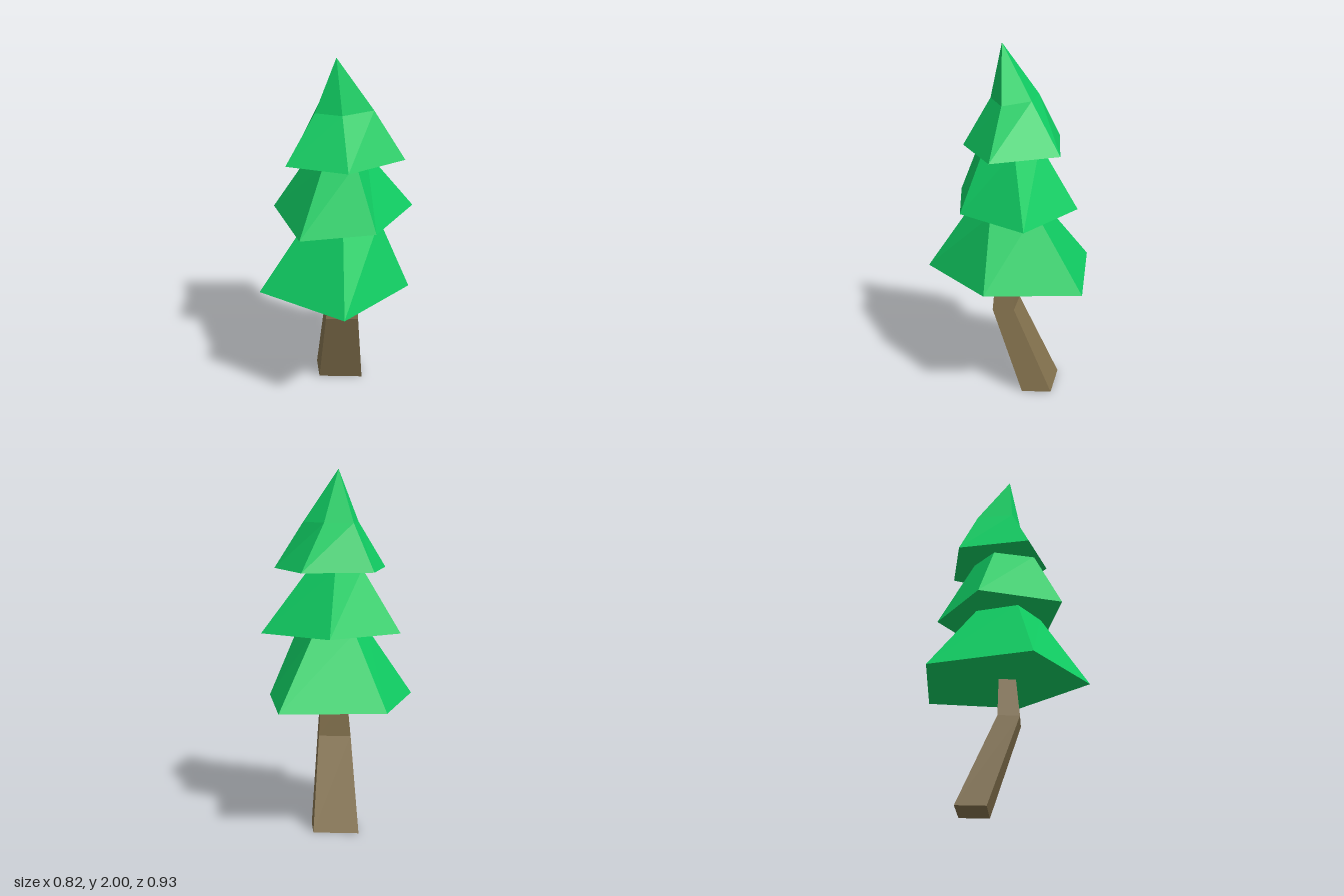
import * as THREE from 'three';

// Faceted solid through horizontal rings, listed bottom to top.
// Ring: { y, pts: [[x, z], ...] } going left, front, right, back; one point makes an apex.
function loft(name, color, rings) {
  const pos = [];
  const n = rings[0].pts.length;
  const at = (ring, i) => {
    const [x, z] = ring.pts[i % ring.pts.length];
    return [x, ring.y, z];
  };
  const tri = (a, b, c) => pos.push(...a, ...b, ...c);

  // sides
  for (let k = 0; k < rings.length - 1; k++) {
    const lo = rings[k], hi = rings[k + 1];
    for (let i = 0; i < n; i++) {
      const j = (i + 1) % n;
      tri(at(lo, i), at(lo, j), at(hi, j));
      if (hi.pts.length > 1) tri(at(lo, i), at(hi, j), at(hi, i));
    }
  }
  // caps
  const bottom = rings[0], top = rings[rings.length - 1];
  for (let i = 1; i < n - 1; i++) {
    tri(at(bottom, 0), at(bottom, i + 1), at(bottom, i));
    if (top.pts.length > 1) tri(at(top, 0), at(top, i), at(top, i + 1));
  }

  const geo = new THREE.BufferGeometry();
  geo.setAttribute('position', new THREE.Float32BufferAttribute(pos, 3));
  geo.computeVertexNormals();
  const mesh = new THREE.Mesh(geo, new THREE.MeshStandardMaterial({ color, flatShading: true }));
  mesh.name = name;
  return mesh;
}

export function createModel() {
  const tree = new THREE.Group();
  tree.name = 'pineTree';
  const bark = 0x85734f, leaf = 0x10cc62;

  // bent four-sided trunk
  tree.add(loft('trunk', bark, [
    { y: 0, pts: [[-0.2, -0.045], [-0.075, 0.065], [0.115, -0.1], [-0.01, -0.21]] },
    { y: 0.5, pts: [[-0.015, 0.085], [0.075, 0.165], [0.21, 0.045], [0.06 + 0.06, -0.035]] },
    { y: 0.72, pts: [[0.005, 0.076], [0.075, 0.138], [0.185, 0.042], [0.115, -0.02]] },
  ]));

  // three irregular five-sided tiers of foliage
  tree.add(loft('lowerFoliage', leaf, [
    { y: 0.715, pts: [[-0.41, -0.05], [-0.14, 0.465], [0.41, 0.38], [0.41, -0.145], [-0.01, -0.465]] },
    { y: 1.11, pts: [[-0.106, 0.02], [0, 0.23], [0.225, 0.19], [0.28, -0.04], [0.05, -0.14]] },
  ]));
  tree.add(loft('middleFoliage', leaf, [
    { y: 1.105, pts: [[-0.28, 0.205], [0.138, 0.43], [0.38, 0.1], [0.278, -0.325], [-0.167, -0.237]] },
    { y: 1.455, pts: [[-0.07, 0.12], [0.127, 0.24], [0.22, 0.085], [0.147, -0.08], [-0.04, -0.065]] },
  ]));
  tree.add(loft('topFoliage', leaf, [
    { y: 1.45, pts: [[-0.25, 0.02], [-0.035, 0.35], [0.275, 0.205], [0.362, -0.145], [0, -0.283]] },
    { y: 1.71, pts: [[-0.1, 0.017], [0.017, 0.18], [0.152, 0.117], [0.214, -0.06], [0.03, -0.08]] },
    { y: 2, pts: [[0.09, 0.095]] },
  ]));

  return tree;
}
